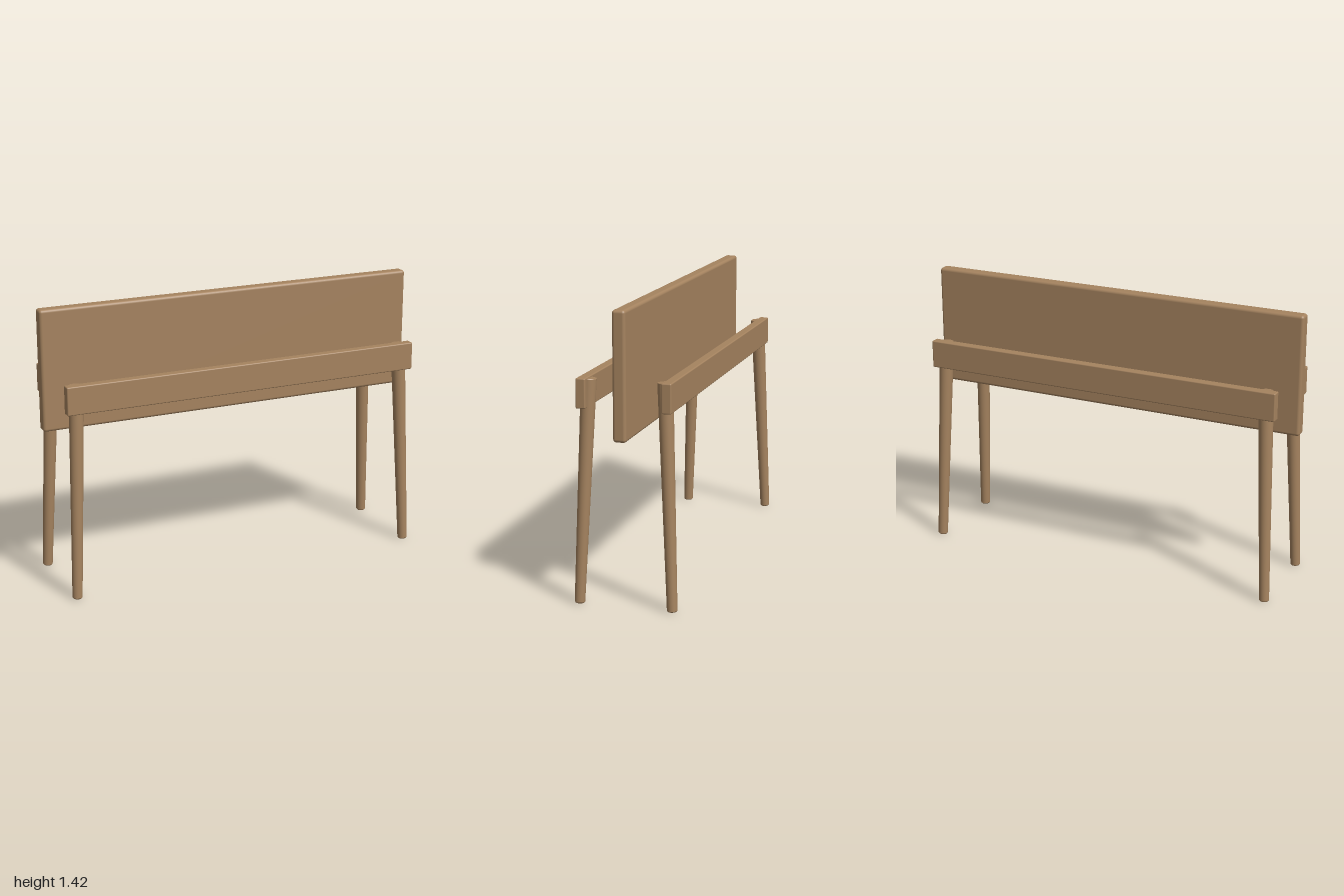
import * as THREE from 'three';
import { RoundedBoxGeometry } from 'three/addons/geometries/RoundedBoxGeometry.js';

export function createModel() {
  const model = new THREE.Group();
  model.name = 'bench';
  const wood = new THREE.MeshStandardMaterial({ color: 0xa5835f });
  wood.name = 'wood';

  const add = (name, geometry, x, y, z) => {
    const mesh = new THREE.Mesh(geometry, wood);
    mesh.name = name;
    mesh.position.set(x, y, z);
    model.add(mesh);
    return mesh;
  };

  // Upright board with softened edges
  add('centerPanel', new RoundedBoxGeometry(2, 0.61, 0.064, 4, 0.015), 0, 1.115, 0);

  // Tapered round leg with a small bevel at each end
  const length = 1.08;
  const profile = [[0, 0], [0.021, 0], [0.021, 0], [0.025, 0.005], [0.025, 0.005],
    [0.037, length - 0.003], [0.037, length - 0.003], [0.035, length], [0.035, length], [0, length]]
    .map(([r, y]) => new THREE.Vector2(r, y));
  const legGeometry = new THREE.LatheGeometry(profile, 32);
  const railGeometry = new RoundedBoxGeometry(1.884, 0.142, 0.047, 3, 0.006);
  const up = new THREE.Vector3(0, 1, 0);

  for (const [end, sz] of [['front', 1], ['back', -1]]) {
    // Long rail joining a pair of legs
    add(end + 'Rail', railGeometry, 0, 1.015, sz * 0.206);

    // Splayed legs, leaning outwards towards the floor
    for (const [side, sx] of [['Left', 1], ['Right', -1]]) {
      const foot = new THREE.Vector3(sx * 0.923, 0.001, sz * 0.228);
      const top = new THREE.Vector3(sx * 0.88, 1.08, sz * 0.184);
      const leg = add(end + side + 'Leg', legGeometry, foot.x, foot.y, foot.z);
      leg.quaternion.setFromUnitVectors(up, top.sub(foot).normalize());
    }
  }
  return model;
}
